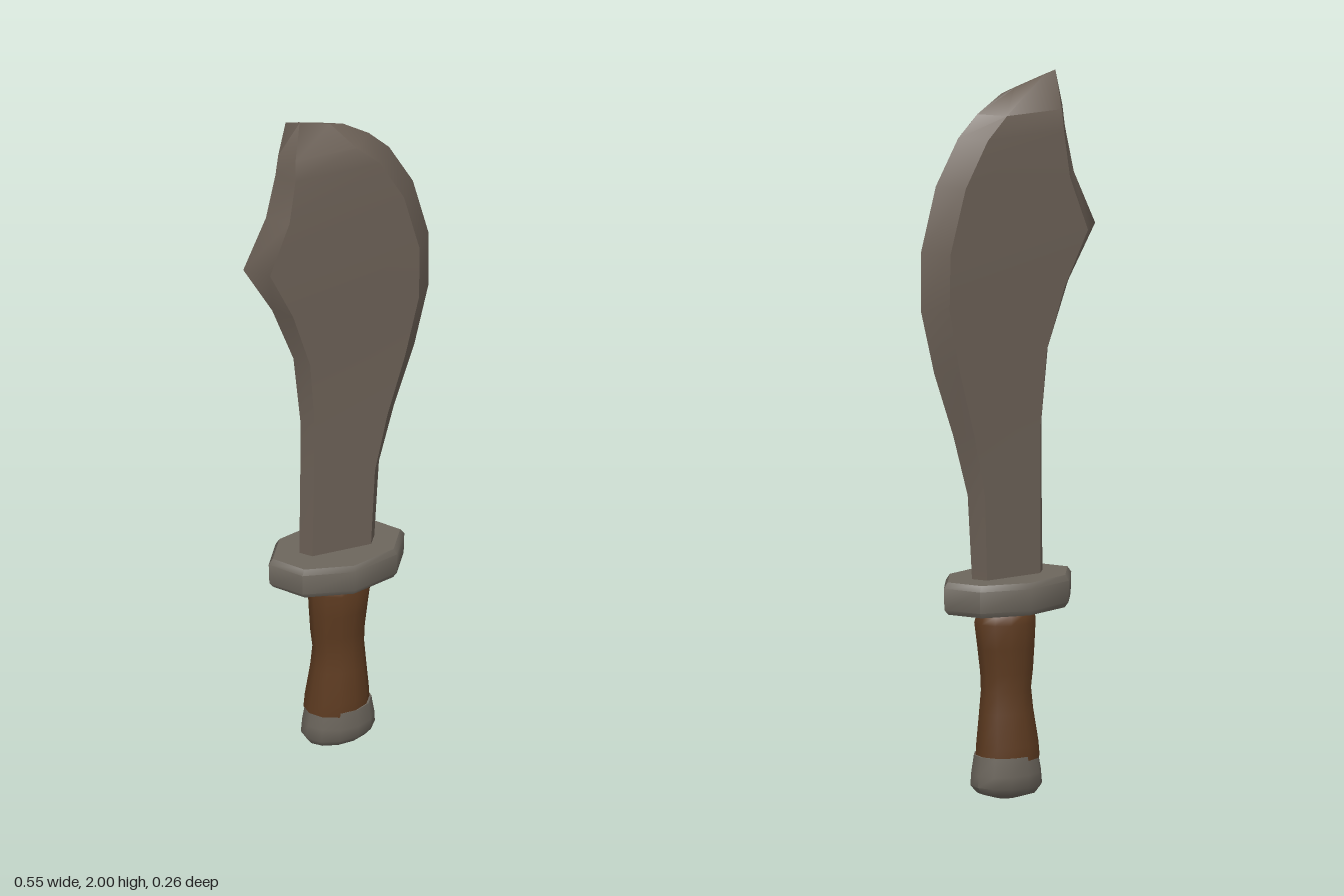
import * as THREE from 'three';
import { toCreasedNormals } from 'three/addons/utils/BufferGeometryUtils.js';

const steel = new THREE.MeshStandardMaterial({ name: 'bladeSteel', color: 0x6a5f55 });
const fittings = new THREE.MeshStandardMaterial({ name: 'fittingSteel', color: 0x6c665d });
const leather = new THREE.MeshStandardMaterial({ name: 'gripLeather', color: 0x5c3a20 });

// Skin a stack of closed rings (bottom to top) and cap both ends
function loft(name, rings, material, crease) {
  const pos = [];
  const tri = (...pts) => pts.forEach((p) => pos.push(p.x, p.y, p.z));
  const centre = (r) => r.reduce((s, p) => s.add(p), new THREE.Vector3()).divideScalar(r.length);
  const n = rings[0].length;
  const top = rings[rings.length - 1];
  const c0 = centre(rings[0]), c1 = centre(top);
  for (let j = 0; j < n; j++) {
    const k = (j + 1) % n;
    for (let i = 0; i < rings.length - 1; i++) {
      const lo = rings[i], hi = rings[i + 1];
      tri(lo[j], lo[k], hi[k]);
      tri(lo[j], hi[k], hi[j]);
    }
    tri(c0, rings[0][k], rings[0][j]);
    tri(c1, top[j], top[k]);
  }
  const geo = new THREE.BufferGeometry();
  geo.setAttribute('position', new THREE.Float32BufferAttribute(pos, 3));
  const mesh = new THREE.Mesh(toCreasedNormals(geo, crease), material);
  mesh.name = name;
  return mesh;
}

// Oval ring from left x, right x and half depth; tilt lifts the +x side
function oval([y, x0, x1, d, tilt = 0], sides = 12) {
  return Array.from({ length: sides }, (_, i) => {
    const a = ((i + 0.5) / sides) * Math.PI * 2;
    const c = Math.cos(a);
    return new THREE.Vector3((x0 + x1) / 2 + (c * (x1 - x0)) / 2, y + tilt * c, -Math.sin(a) * d);
  });
}

// Blade section: two sharp edges joined by bevels to flat faces
function bladeRing([xl, yl, xr, yr, bl, br, t]) {
  const at = (x, z) => new THREE.Vector3(x, yl + ((yr - yl) * (x - xl)) / (xr - xl), z);
  return [
    at(xr, 0), at(xr - br, -t), at(xl + bl, -t * 0.85),
    at(xl, 0), at(xl + bl, t * 0.85), at(xr - br, t),
  ];
}

export function createModel() {
  const group = new THREE.Group();
  group.name = 'sword';

  // Blade: left edge, right edge, left bevel, right bevel, half thickness
  const blade = [
    [-0.11, 0.59, 0.11, 0.59, 0.025, 0.025, 0.036],
    [-0.107, 0.85, 0.125, 0.85, 0.025, 0.03, 0.042],
    [-0.106, 1.03, 0.17, 1.02, 0.025, 0.04, 0.046],
    [-0.127, 1.24, 0.23, 1.2, 0.03, 0.05, 0.053],
    [-0.19, 1.41, 0.272, 1.38, 0.04, 0.055, 0.06],
    [-0.275, 1.56, 0.272, 1.54, 0.055, 0.055, 0.065],
    [-0.208, 1.71, 0.225, 1.72, 0.045, 0.055, 0.066],
    [-0.18, 1.84, 0.155, 1.845, 0.035, 0.055, 0.065],
    [-0.172, 1.9, 0.095, 1.905, 0.03, 0.06, 0.057],
    [-0.15, 2.0, 0.02, 1.953, 0.04, 0.04, 0.003],
  ];
  group.add(loft('blade', blade.map(bladeRing), steel, 0.75));

  // Guard: eight-sided plate with softened rims
  const outline = [[0.2, 0], [0.14, -0.09], [0, -0.128], [-0.14, -0.09],
    [-0.2, 0], [-0.14, 0.09], [0, 0.128], [0.14, 0.09]];
  const guard = [[0.526, 0.93], [0.54, 0.99], [0.6, 1], [0.616, 0.94]].map(([y, s]) =>
    outline.map(([x, z]) => new THREE.Vector3(x * s, y, z * s)));
  group.add(loft('guard', guard, fittings, 0.75));

  // Grip: waisted leather wrap
  const grip = [
    [0.11, -0.092, 0.092, 0.077],
    [0.15, -0.088, 0.09, 0.077],
    [0.24, -0.073, 0.082, 0.066],
    [0.3, -0.067, 0.077, 0.06],
    [0.35, -0.073, 0.079, 0.062],
    [0.42, -0.077, 0.087, 0.069],
    [0.49, -0.08, 0.096, 0.075],
    [0.515, -0.075, 0.088, 0.07],
    [0.535, -0.06, 0.065, 0.05],
  ];
  group.add(loft('grip', grip.map((r) => oval(r)), leather, 0.9));

  // Pommel: flared cap with a rounded base
  const pommel = [
    [0, -0.03, 0.035, 0.025],
    [0.014, -0.085, 0.09, 0.06, 0.004],
    [0.035, -0.1, 0.108, 0.077, 0.004],
    [0.07, -0.096, 0.106, 0.08],
    [0.122, -0.086, 0.097, 0.078],
  ];
  group.add(loft('pommel', pommel.map((r) => oval(r)), fittings, 0.9));

  return group;
}
